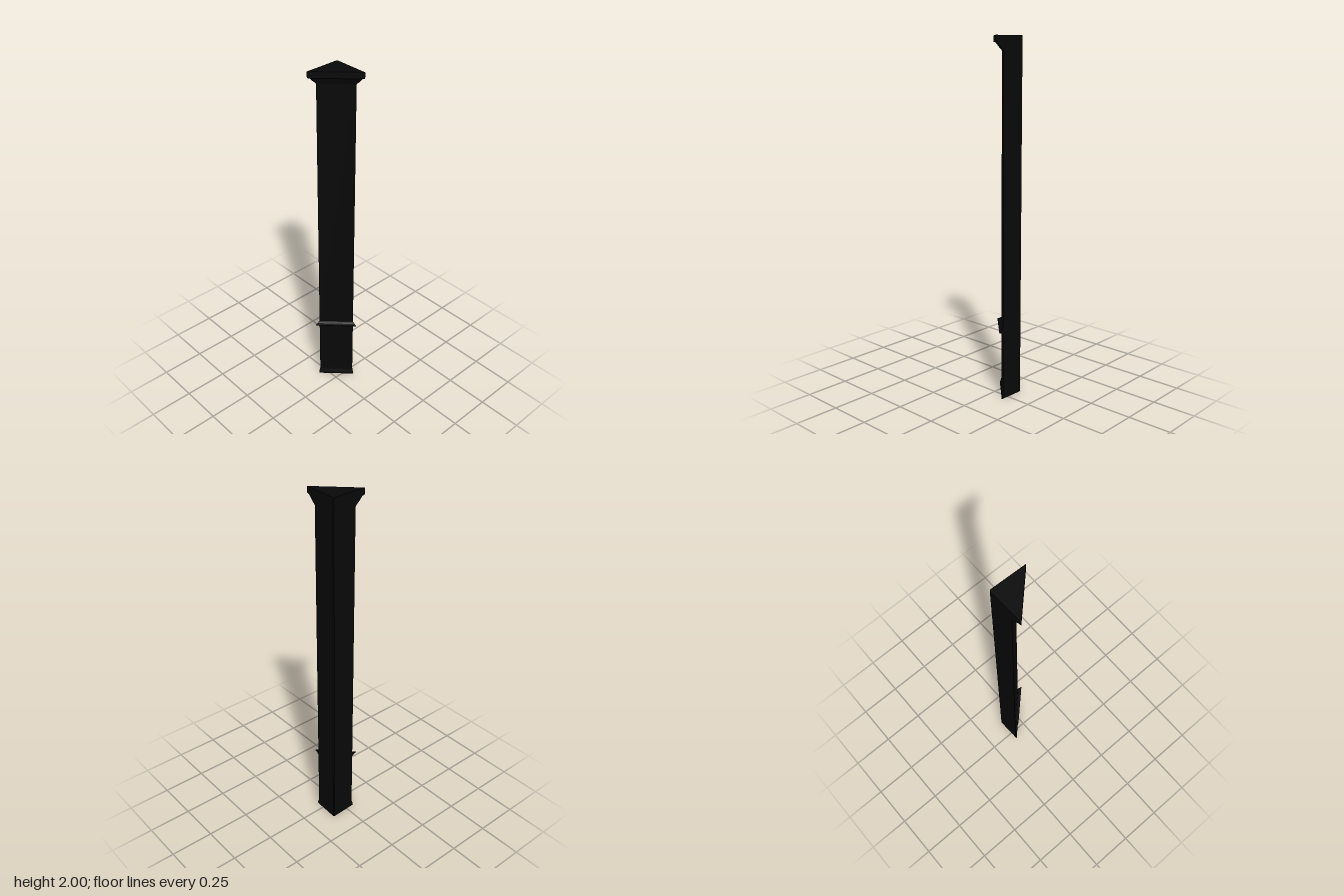
import * as THREE from 'three';

// Plan of the corner piece: two slightly splayed wall sides, a tiny back chamfer
// and a diagonal front face that reaches out to r along each wall.
function plan(r, y) {
  const w = -0.105 + 0.035 * (r + 0.1);
  return [[-0.105, y, -0.1], [w, y, r], [r, y, w], [-0.1, y, -0.105]];
}

// Stacks plans along a profile of [reach, height] points, bottom to top, and caps both ends.
function loft(profile) {
  const rings = profile.map(([r, y]) => plan(r, y));
  const pos = [];
  const quad = (a, b, c, d) => pos.push(...a, ...b, ...c, ...a, ...c, ...d);
  for (let k = 0; k < rings.length - 1; k++) {
    const lo = rings[k], up = rings[k + 1];
    for (let i = 0; i < 4; i++) {
      const j = (i + 1) % 4;
      quad(lo[i], lo[j], up[j], up[i]);
    }
  }
  const [b0, b1, b2, b3] = rings[0];
  quad(b3, b2, b1, b0);
  quad(...rings[rings.length - 1]);
  const geo = new THREE.BufferGeometry();
  geo.setAttribute('position', new THREE.Float32BufferAttribute(pos, 3));
  geo.computeVertexNormals();
  return geo;
}

export function createModel() {
  const group = new THREE.Group();
  const material = new THREE.MeshStandardMaterial({ color: 0x080808 });
  const shaft = 0.04;

  const parts = {
    // skirting at the floor
    baseboard: [[0.05, 0], [0.05, 0.012], [0.043, 0.03], [shaft, 0.042]],
    lowerShaft: [[shaft, 0.042], [shaft, 0.385]],
    // thin moulded band
    rail: [[shaft, 0.385], [0.05, 0.387], [0.05, 0.394], [0.07, 0.397], [0.07, 0.403],
      [0.055, 0.407], [0.05, 0.412], [shaft, 0.416]],
    upperShaft: [[shaft, 0.416], [shaft, 1.925]],
    // flared cornice under a flat top slab
    crown: [[shaft, 1.92], [0.045, 1.926], [0.06, 1.938], [0.085, 1.963],
      [0.1, 1.966], [0.1, 2]],
  };

  for (const [name, profile] of Object.entries(parts)) {
    const mesh = new THREE.Mesh(loft(profile), material);
    mesh.name = name;
    group.add(mesh);
  }
  return group;
}
